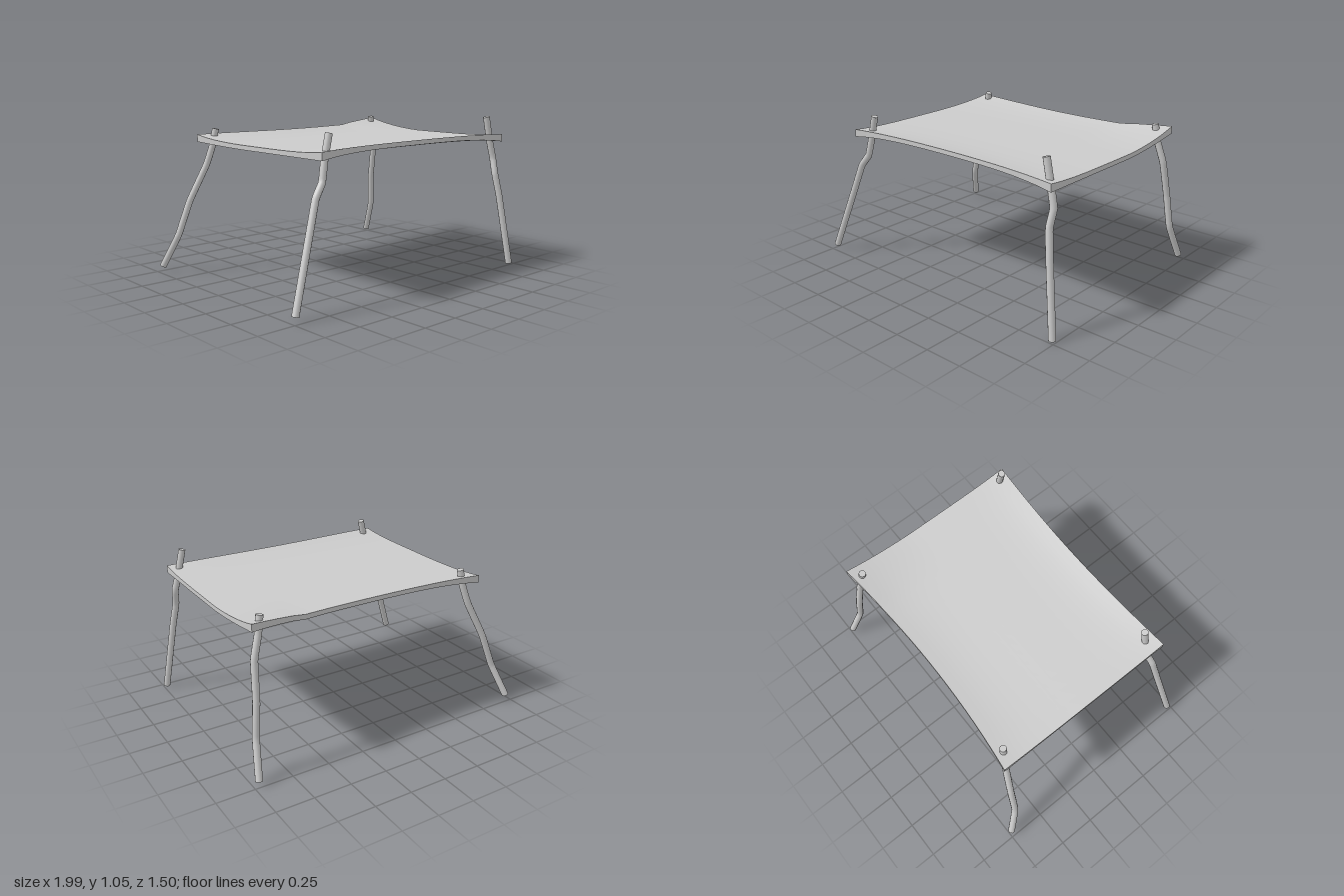
import * as THREE from 'three';

const material = new THREE.MeshStandardMaterial({ color: 0xcccccc });
const V = (p) => new THREE.Vector3(...p);

// Thin warped sheet: waisted front and back edges, thicker corners, one lifted corner
function createTop() {
  const geo = new THREE.BoxGeometry(2, 2, 2, 18, 1, 18);
  const pos = geo.attributes.position;
  for (let i = 0; i < pos.count; i++) {
    const u = pos.getX(i), v = pos.getZ(i), isTop = pos.getY(i) > 0;
    const waist = 1 - u * u;
    const front = 0.68 - 0.04 * waist, back = -0.61 + 0.055 * waist;
    const z = back + (front - back) * (v + 1) / 2;
    const backness = Math.max(0, (-v - 0.2) / 0.8) ** 1.5;
    const lift = backness * (u > 0.6 ? 0.012 + 0.038 * (u - 0.6) / 0.4 : 0.012);
    const bottom = 0.875 + 0.03 * v ** 4 * (1 - u ** 4) + lift * (u > 0.6 ? 1 : u * u);
    const thickness = 0.03 + 0.02 * u ** 4 * v ** 4;
    pos.setXYZ(i, 0.085 + 0.825 * u, bottom + (isTop ? thickness : 0), z);
  }
  geo.computeVertexNormals();
  const mesh = new THREE.Mesh(geo, material);
  mesh.name = 'tableTop';
  return mesh;
}

// Crooked round stick running from the foot up through the sheet, with flat ends
function createLeg(name, points, radius = 0.023) {
  const leg = new THREE.Group();
  leg.name = name;
  const curve = new THREE.CatmullRomCurve3(points.map(V), false, 'catmullrom', 0.15);
  const stick = new THREE.Mesh(new THREE.TubeGeometry(curve, 40, radius, 12), material);
  stick.name = 'stick';
  leg.add(stick);
  for (const [t, sign, label] of [[0, -1, 'footEnd'], [1, 1, 'topEnd']]) {
    const cap = new THREE.Mesh(new THREE.CircleGeometry(radius, 12), material);
    cap.name = label;
    cap.position.copy(curve.getPoint(t));
    cap.quaternion.setFromUnitVectors(V([0, 0, 1]), curve.getTangent(t).multiplyScalar(sign));
    leg.add(cap);
  }
  return leg;
}

// Leg paths from foot to tip
const legs = {
  frontLeftLeg: [[0.975, 0.005, 0.725], [0.905, 0.49, 0.675], [0.88, 0.65, 0.65],
    [0.887, 0.76, 0.622], [0.86, 0.87, 0.613], [0.82, 1.045, 0.608]],
  frontRightLeg: [[-0.975, 0.035, 0.722], [-0.815, 0.48, 0.66], [-0.75, 0.66, 0.635],
    [-0.69, 0.74, 0.62], [-0.66, 0.87, 0.608], [-0.623, 1.02, 0.604]],
  backLeftLeg: [[0.965, 0.03, -0.73], [0.93, 0.26, -0.64], [0.905, 0.49, -0.615],
    [0.885, 0.73, -0.57], [0.845, 0.87, -0.55], [0.825, 0.99, -0.54]],
  backRightLeg: [[-0.965, 0.04, -0.73], [-0.89, 0.26, -0.642], [-0.81, 0.49, -0.615],
    [-0.7, 0.73, -0.57], [-0.66, 0.86, -0.55], [-0.638, 0.975, -0.54]],
};

export function createModel() {
  const model = new THREE.Group();
  model.name = 'stickTable';
  model.add(createTop());
  for (const [name, points] of Object.entries(legs)) model.add(createLeg(name, points));
  return model;
}
